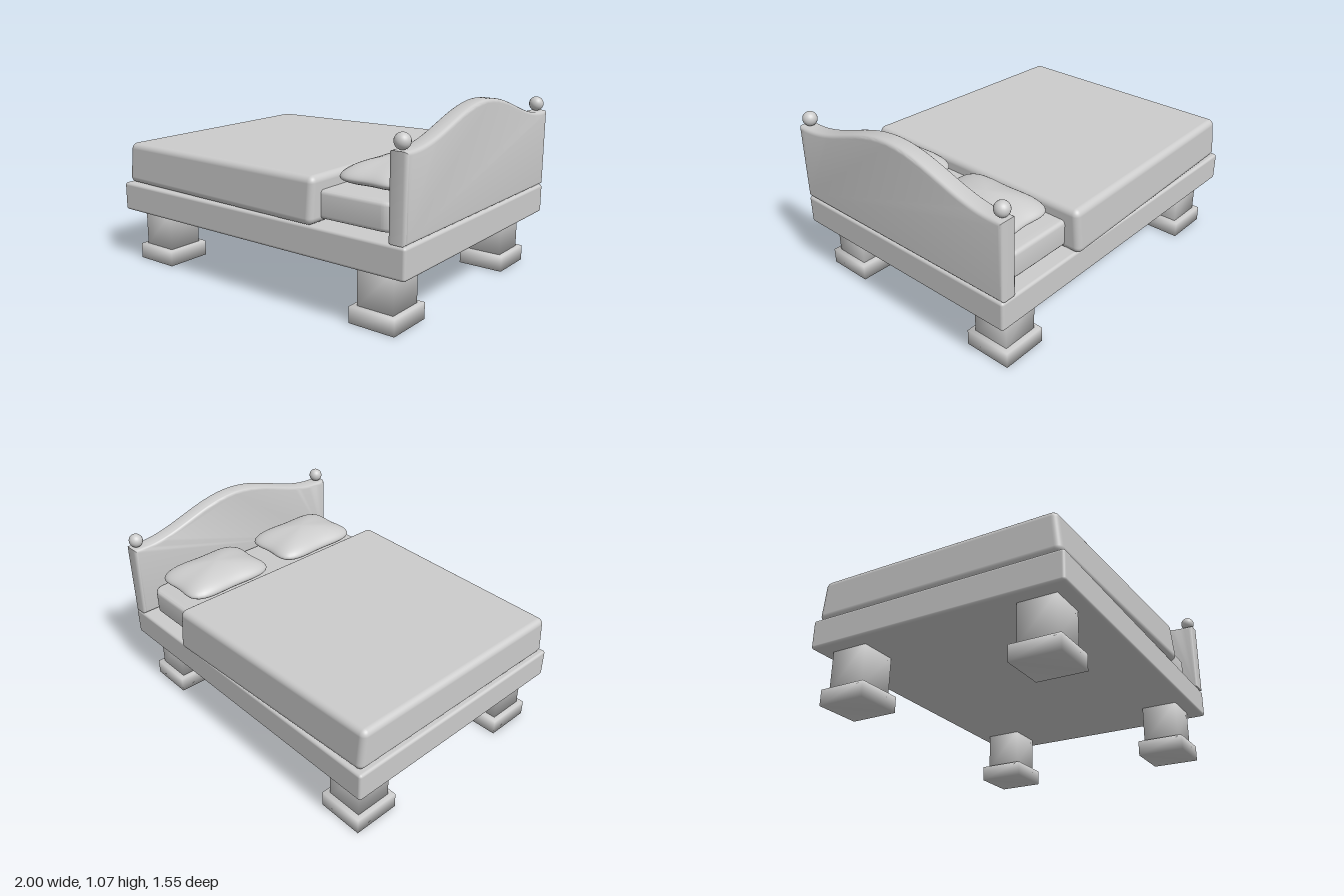
import * as THREE from 'three';
import { RoundedBoxGeometry } from 'three/addons/geometries/RoundedBoxGeometry.js';
import { mergeVertices, toCreasedNormals } from 'three/addons/utils/BufferGeometryUtils.js';

const grey = new THREE.MeshStandardMaterial({ color: 0xcccccc });

function part(name, geometry, x = 0, y = 0, z = 0) {
  const mesh = new THREE.Mesh(geometry, grey);
  mesh.name = name;
  mesh.position.set(x, y, z);
  return mesh;
}

// Box with shared corners, so the shading runs smoothly around its edges
function softBox(w, h, d) {
  const g = new THREE.BoxGeometry(w, h, d);
  g.deleteAttribute('normal');
  g.deleteAttribute('uv');
  const merged = mergeVertices(g);
  merged.computeVertexNormals();
  return merged;
}

// Bevelled extrusion; the shape is drawn already inset by the bevel
function slab(shape, thickness, bevel) {
  const g = new THREE.ExtrudeGeometry(shape, {
    depth: thickness - 2 * bevel, bevelEnabled: true, bevelSize: bevel,
    bevelThickness: bevel, bevelSegments: 4, curveSegments: 10,
  });
  g.translate(0, 0, bevel);
  return toCreasedNormals(g, 0.7);
}

function roundedRect(x0, y0, x1, y1, r) {
  const s = new THREE.Shape();
  s.absarc(x1 - r, y1 - r, r, 0, Math.PI / 2);
  s.absarc(x0 + r, y1 - r, r, Math.PI / 2, Math.PI);
  s.absarc(x0 + r, y0 + r, r, Math.PI, Math.PI * 1.5);
  s.absarc(x1 - r, y0 + r, r, Math.PI * 1.5, Math.PI * 2);
  s.closePath();
  return s;
}

// Headboard: flat shoulders rising to a wave-shaped crest
function headboardGeometry() {
  const b = 0.02, half = 0.75 - b;
  const s = new THREE.Shape();
  s.moveTo(-half, 0.48 + b);
  s.lineTo(half, 0.48 + b);
  for (let i = 0; i <= 48; i++) {
    const z = half - (2 * half * i) / 48;
    const a = Math.min(Math.abs(z) / 0.69, 1) * Math.PI;
    s.lineTo(z, 0.92 - b + 0.15 * (0.5 + 0.5 * Math.cos(a)));
  }
  s.closePath();
  return slab(s, 0.1, b).rotateY(Math.PI / 2);
}

// Duvet: rounded block, wider and a little higher towards the head, sides flaring down
function duvetGeometry() {
  const len = 1.445, h = 0.235;
  const g = new RoundedBoxGeometry(len, h, 1.5, 4, 0.035);
  const p = g.attributes.position;
  for (let i = 0; i < p.count; i++) {
    const t = p.getX(i) / len + 0.5;
    const v = p.getY(i) / h + 0.5;
    const half = 0.732 + 0.046 * t - 0.024 * v;
    p.setZ(i, (p.getZ(i) / 0.75) * half);
    p.setY(i, p.getY(i) + 0.013 * t * v);
  }
  return g;
}

// Pillow: sphere reshaped to a squarish plan with pinched-in sides
function pillowGeometry() {
  const g = new THREE.SphereGeometry(1, 64, 32);
  g.deleteAttribute('uv');
  g.deleteAttribute('normal');
  const m = mergeVertices(g);
  const p = m.attributes.position;
  for (let i = 0; i < p.count; i++) {
    const x = p.getX(i), y = p.getY(i), z = p.getZ(i);
    const a = Math.atan2(z, x), c = Math.cos(a), s = Math.sin(a);
    const square = Math.pow(Math.abs(c) ** 4.5 + Math.abs(s) ** 4.5, -1 / 4.5);
    const rho = Math.pow(Math.hypot(x, z), 1.1) * square * (1 - 0.025 * Math.cos(4 * a));
    const lift = Math.sign(y) * Math.pow(Math.abs(y), 1.1);
    p.setXYZ(i, rho * c * 0.2, lift * (y > 0 ? 0.085 : 0.062), rho * s * 0.285);
  }
  m.computeVertexNormals();
  return m;
}

export function createModel() {
  const bed = new THREE.Group();
  bed.name = 'bed';

  bed.add(part('bedFrame', new RoundedBoxGeometry(2, 0.167, 1.5, 3, 0.016), 0, 0.393, 0));

  // Four legs, each a square post on a wider foot
  for (const x of [-0.805, 0.78]) {
    for (const z of [-0.56, 0.56]) {
      const leg = new THREE.Group();
      leg.name = 'leg';
      leg.position.set(x, 0, z);
      leg.add(part('legPost', softBox(0.215, 0.23, 0.215), 0, 0.2, 0));
      leg.add(part('legFoot', softBox(0.27, 0.09, 0.275), 0, 0.045, 0));
      bed.add(leg);
    }
  }

  // Mattress, rounded in plan
  const b = 0.022;
  const mattress = slab(roundedRect(-0.95 + b, -0.685 + b, 0.885 - b, 0.685 - b, 0.05), 0.15, b);
  mattress.rotateX(-Math.PI / 2);
  bed.add(part('mattress', mattress, 0, 0.5, 0));

  bed.add(part('duvet', duvetGeometry(), -0.262, 0.596, -0.005));

  // Headboard with a ball at each shoulder
  bed.add(part('headboard', headboardGeometry(), 0.9, 0, 0));
  const ball = new THREE.SphereGeometry(0.041, 24, 16);
  for (const z of [-0.71, 0.71]) bed.add(part('headboardBall', ball, 0.948, 0.96, z));

  const pillow = pillowGeometry();
  for (const z of [-0.345, 0.345]) bed.add(part('pillow', pillow, 0.684, 0.711, z));

  return bed;
}
